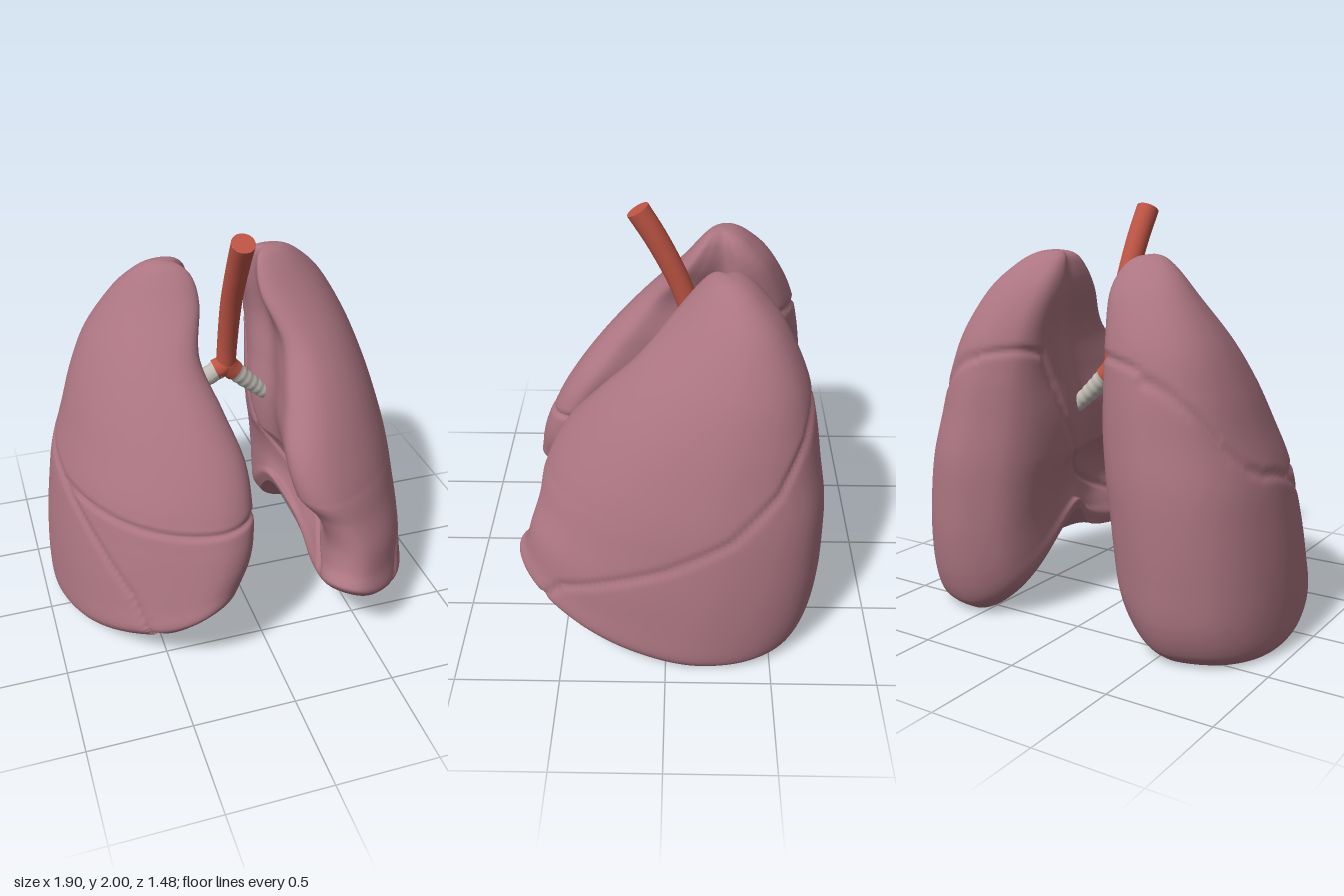
import * as THREE from 'three';
import { mergeVertices } from 'three/addons/utils/BufferGeometryUtils.js';

const material = (name, color, side = THREE.FrontSide) => {
  const m = new THREE.MeshStandardMaterial({ color, side });
  m.name = name;
  return m;
};

// Horizontal outline: u runs from medial (0) to lateral (1), v from back (0) to front (1)
const OUTLINE = [
  [0, 0.91], [0.06, 0.97], [0.2, 1], [0.43, 0.96], [0.66, 0.86], [0.835, 0.72], [0.95, 0.55], [1, 0.36],
  [0.95, 0.19], [0.81, 0.07], [0.5, 0], [0.25, 0.035], [0.11, 0.095], [0.03, 0.19], [0, 0.36], [0.09, 0.53], [0.03, 0.75],
];
// Levels from apex to rim: height, back z, front z, lateral x, medial x at back, medial x at front
const LEFT_LEVELS = [
  [1.79, -0.26, -0.26, 0.28, 0.28, 0.28], [1.775, -0.34, -0.2, 0.36, 0.21, 0.21],
  [1.72, -0.42, -0.14, 0.45, 0.175, 0.18], [1.6, -0.525, -0.04, 0.57, 0.165, 0.18],
  [1.4, -0.625, 0.14, 0.69, 0.18, 0.25], [1.2, -0.675, 0.33, 0.77, 0.2, 0.205],
  [1.0, -0.705, 0.49, 0.83, 0.21, 0.14], [0.8, -0.735, 0.59, 0.88, 0.22, 0.165],
  [0.6, -0.74, 0.62, 0.91, 0.22, 0.27], [0.4, -0.735, 0.665, 0.93, 0.22, 0.335],
  [0.2, -0.71, 0.7, 0.94, 0.22, 0.33], [0.06, -0.66, 0.74, 0.94, 0.22, 0.3], [0, -0.58, 0.7, 0.91, 0.25, 0.32],
];
const RIGHT_LEVELS = [
  [1.78, -0.25, -0.25, 0.27, 0.27, 0.27], [1.765, -0.33, -0.19, 0.34, 0.2, 0.2],
  [1.71, -0.41, -0.13, 0.42, 0.15, 0.15], [1.6, -0.51, -0.04, 0.52, 0.125, 0.14],
  [1.4, -0.61, 0.14, 0.66, 0.13, 0.19], [1.2, -0.66, 0.33, 0.75, 0.135, 0.12],
  [1.0, -0.69, 0.49, 0.815, 0.14, 0.045], [0.8, -0.715, 0.6, 0.88, 0.16, 0.035],
  [0.6, -0.72, 0.65, 0.915, 0.18, 0.045], [0.4, -0.715, 0.68, 0.94, 0.19, 0.075],
  [0.2, -0.7, 0.7, 0.953, 0.2, 0.13], [0.06, -0.65, 0.71, 0.95, 0.21, 0.18], [0, -0.58, 0.66, 0.92, 0.24, 0.23],
];
// Oblique fissure: z, y
const FISSURE = [
  [-0.8, 1.36], [-0.66, 1.31], [-0.61, 1.18], [-0.5, 0.98], [-0.3, 0.78], [0, 0.6],
  [0.3, 0.46], [0.5, 0.36], [0.59, 0.26], [0.67, 0], [0.9, -0.6],
];

// Signed distance above the oblique fissure, which stays high around the inner back
// and is raised along the flank by "arch"
function aboveOblique(p, arch) {
  const inner = Math.max(0, 0.45 - Math.abs(p.x)) * THREE.MathUtils.clamp(-p.z * 2.5, 0, 1);
  const z = p.z - 0.8 * inner;
  let i = 0;
  while (i < FISSURE.length - 2 && z > FISSURE[i + 1][0]) i++;
  const [z0, y0] = FISSURE[i], [z1, y1] = FISSURE[i + 1];
  const slope = (y1 - y0) / (z1 - z0);
  const raised = arch * Math.max(0, 1 - ((z - 0.1) / 0.5) ** 2);
  return (p.y - raised - y0 - slope * (z - z0)) / Math.hypot(1, slope);
}
const aboveHorizontal = (p) => p.y - 0.755 - 0.04 * ((Math.abs(p.x) - 0.5) / 0.45) ** 2;

// Height of the lower rim: it rises towards the front, and arches up below the root of the lung
function rimHeight(x, z) {
  const front = Math.max(0, (z + 0.4) / 1.1) ** 2;
  const inner = THREE.MathUtils.smoothstep(0.6 - x, 0, 0.44) ** 1.3;
  return 0.01 + 0.26 * front + (0.12 + 0.43 * Math.exp(-(((z + 0.08) / 0.36) ** 2))) * inner;
}

// Hollow in the lower medial face where the heart lies
const heartHollow = (u, y, z) =>
  0.1 * Math.exp(-(((y - 0.55) / 0.3) ** 2) - ((z - 0.22) / 0.2) ** 2) * Math.max(0, 1 - u / 0.3);

// Smooth closed lung surface lofted through the levels, with a hollow underside
function lungSurface(levels, side) {
  const COLS = 170, ROWS = 144, BASE = 12;
  const outline = new THREE.CatmullRomCurve3(OUTLINE.map(([u, v]) => new THREE.Vector3(u, v, 0)), true);
  const ring = Array.from({ length: COLS }, (_, j) => outline.getPoint(j / COLS));
  const curves = [1, 2, 3, 4, 5].map((k) => new THREE.SplineCurve(levels.map((l) => new THREE.Vector2(l[0], l[k]))));
  const pos = [], index = [];
  for (let i = 0; i <= ROWS + BASE; i++) {
    const at = curves.map((c) => c.getPoint(Math.min(1, i / ROWS)));
    const [zb, zf, lat, mb, mf] = at.map((q) => q.y);
    const r = i <= ROWS ? 1 : 1 - (i - ROWS) / BASE;
    for (const { x: u, y: v } of ring) {
      const y = at[0].x, m = mb + (mf - mb) * v, zRing = zb + (zf - zb) * v;
      const xRing = m + (lat - m) * u + heartHollow(u, y, zRing);
      const x = THREE.MathUtils.lerp(0.56, xRing, r);
      const z = THREE.MathUtils.lerp(-0.05, zRing, r);
      const lift = rimHeight(x, z) * Math.max(0, 1 - y / 0.8);
      pos.push(side * x, y + lift + 0.2 * (1 - r * r), z);
    }
  }
  for (let i = 0; i < ROWS + BASE; i++) {
    for (let j = 0; j < COLS; j++) {
      const a = i * COLS + j, d = i * COLS + (j + 1) % COLS, b = a + COLS, c = d + COLS;
      if (side > 0) index.push(a, b, c, a, c, d);
      else index.push(a, c, b, a, d, c);
    }
  }
  let g = new THREE.BufferGeometry();
  g.setAttribute('position', new THREE.Float32BufferAttribute(pos, 3));
  g.setIndex(index);
  g = mergeVertices(g, 1e-5);
  g.computeVertexNormals();
  return g;
}

// Presses the fissures into the surface as narrow grooves
function addGrooves(g, arch, hasMiddle) {
  const P = g.attributes.position, N = g.attributes.normal;
  const p = new THREE.Vector3(), n = new THREE.Vector3(), dist = [];
  for (let i = 0; i < P.count; i++) {
    p.fromBufferAttribute(P, i);
    n.fromBufferAttribute(N, i);
    const f = [aboveOblique(p, arch), aboveHorizontal(p)];
    let depth = Math.exp(-((f[0] / 0.015) ** 2));
    if (hasMiddle && f[0] > 0) depth = Math.max(depth, Math.exp(-((f[1] / 0.013) ** 2)));
    p.addScaledVector(n, -0.016 * depth);
    P.setXYZ(i, p.x, p.y, p.z);
    dist.push(f);
  }
  g.computeVertexNormals();
  return dist;
}

// Keeps the part of a polygon on one side of fissure k
function clip(poly, k, sign) {
  const out = [];
  poly.forEach((a, i) => {
    const b = poly[(i + 1) % poly.length];
    const fa = a.f[k] * sign, fb = b.f[k] * sign;
    if (fa >= 0) out.push(a);
    if (fa >= 0 !== fb >= 0) {
      const t = fa / (fa - fb);
      out.push({ p: a.p.clone().lerp(b.p, t), n: a.n.clone().lerp(b.n, t), f: a.f.map((v, q) => v + (b.f[q] - v) * t) });
    }
  });
  return out;
}

function lobe(name, g, dist, cuts, mat) {
  const verts = dist.map((f, i) => ({
    p: new THREE.Vector3().fromBufferAttribute(g.attributes.position, i),
    n: new THREE.Vector3().fromBufferAttribute(g.attributes.normal, i), f,
  }));
  const pos = [], nor = [], idx = g.index.array;
  for (let i = 0; i < idx.length; i += 3) {
    let poly = [verts[idx[i]], verts[idx[i + 1]], verts[idx[i + 2]]];
    for (const [k, sign] of cuts) poly = clip(poly, k, sign);
    for (let q = 1; q + 1 < poly.length; q++) {
      for (const v of [poly[0], poly[q], poly[q + 1]]) {
        pos.push(v.p.x, v.p.y, v.p.z);
        nor.push(v.n.x, v.n.y, v.n.z);
      }
    }
  }
  const out = new THREE.BufferGeometry();
  out.setAttribute('position', new THREE.Float32BufferAttribute(pos, 3));
  out.setAttribute('normal', new THREE.Float32BufferAttribute(nor, 3));
  const mesh = new THREE.Mesh(out, mat);
  mesh.name = name;
  return mesh;
}

// Capped tube whose radius follows a rule along its length
function pipe(name, points, radius, mat) {
  const group = new THREE.Group();
  group.name = name;
  const curve = new THREE.CatmullRomCurve3(points.map((p) => new THREE.Vector3(...p)));
  const SEG = 40, SIDES = 24;
  const g = new THREE.TubeGeometry(curve, SEG, 1, SIDES);
  const P = g.attributes.position, p = new THREE.Vector3();
  for (let i = 0; i < P.count; i++) {
    const t = Math.floor(i / (SIDES + 1)) / SEG, c = curve.getPointAt(t);
    p.fromBufferAttribute(P, i).sub(c).multiplyScalar(radius(t)).add(c);
    P.setXYZ(i, p.x, p.y, p.z);
  }
  g.computeVertexNormals();
  group.add(new THREE.Mesh(g, mat));
  for (const t of [0, 1]) {
    const cap = new THREE.Mesh(new THREE.CircleGeometry(radius(t), SIDES), mat);
    const end = curve.getPointAt(t);
    cap.position.copy(end);
    cap.lookAt(end.clone().addScaledVector(curve.getTangentAt(t), t ? 1 : -1));
    group.add(cap);
  }
  group.children.forEach((m, i) => { m.name = name + (i ? 'End' : 'Wall'); });
  return group;
}

export function createModel() {
  const pink = material('lung pink', 0xab7581, THREE.DoubleSide);
  const red = material('windpipe red', 0xbd5444);
  const grey = material('bronchus grey', 0xbfbab2);
  const model = new THREE.Group();
  model.name = 'lungs';

  // Lungs, each divided into lobes
  const left = new THREE.Group(), right = new THREE.Group();
  left.name = 'leftLung';
  right.name = 'rightLung';
  const lg = lungSurface(LEFT_LEVELS, 1), ld = addGrooves(lg, 0, false);
  left.add(lobe('leftUpperLobe', lg, ld, [[0, 1]], pink), lobe('leftLowerLobe', lg, ld, [[0, -1]], pink));
  const rg = lungSurface(RIGHT_LEVELS, -1), rd = addGrooves(rg, 0.16, true);
  right.add(
    lobe('rightUpperLobe', rg, rd, [[0, 1], [1, 1]], pink),
    lobe('rightMiddleLobe', rg, rd, [[0, 1], [1, -1]], pink),
    lobe('rightLowerLobe', rg, rd, [[0, -1]], pink),
  );
  model.add(left, right);

  // Windpipe and its fork
  model.add(
    pipe('windpipe', [[0.007, 1.98, 0.14], [0.01, 1.83, 0.05], [0.012, 1.6, -0.06], [0.015, 1.35, -0.135], [0.015, 1.2, -0.16]],
      (t) => 0.056 - 0.007 * t, red),
    pipe('rightFork', [[0.015, 1.23, -0.157], [-0.01, 1.208, -0.16], [-0.04, 1.195, -0.162]], () => 0.053, red),
    pipe('leftFork', [[0.015, 1.23, -0.157], [0.035, 1.2, -0.16], [0.06, 1.175, -0.162]], () => 0.053, red),
  );

  // Ringed bronchi
  const ringed = (r0, r1, rings) => (t) => r0 + (r1 - r0) * t + 0.0015 * Math.sin(t * rings * Math.PI * 2);
  model.add(
    pipe('rightBronchus', [[-0.02, 1.2, -0.162], [-0.09, 1.16, -0.16], [-0.17, 1.11, -0.16], [-0.25, 1.04, -0.16]], ringed(0.051, 0.036, 6), grey),
    pipe('rightUpperBranch', [[-0.08, 1.165, -0.16], [-0.15, 1.17, -0.17], [-0.24, 1.2, -0.18]], ringed(0.04, 0.028, 4), grey),
    pipe('leftBronchus', [[0.05, 1.185, -0.162], [0.11, 1.125, -0.165], [0.18, 1.06, -0.17], [0.27, 0.98, -0.175]], ringed(0.05, 0.034, 7), grey),
  );
  return model;
}
